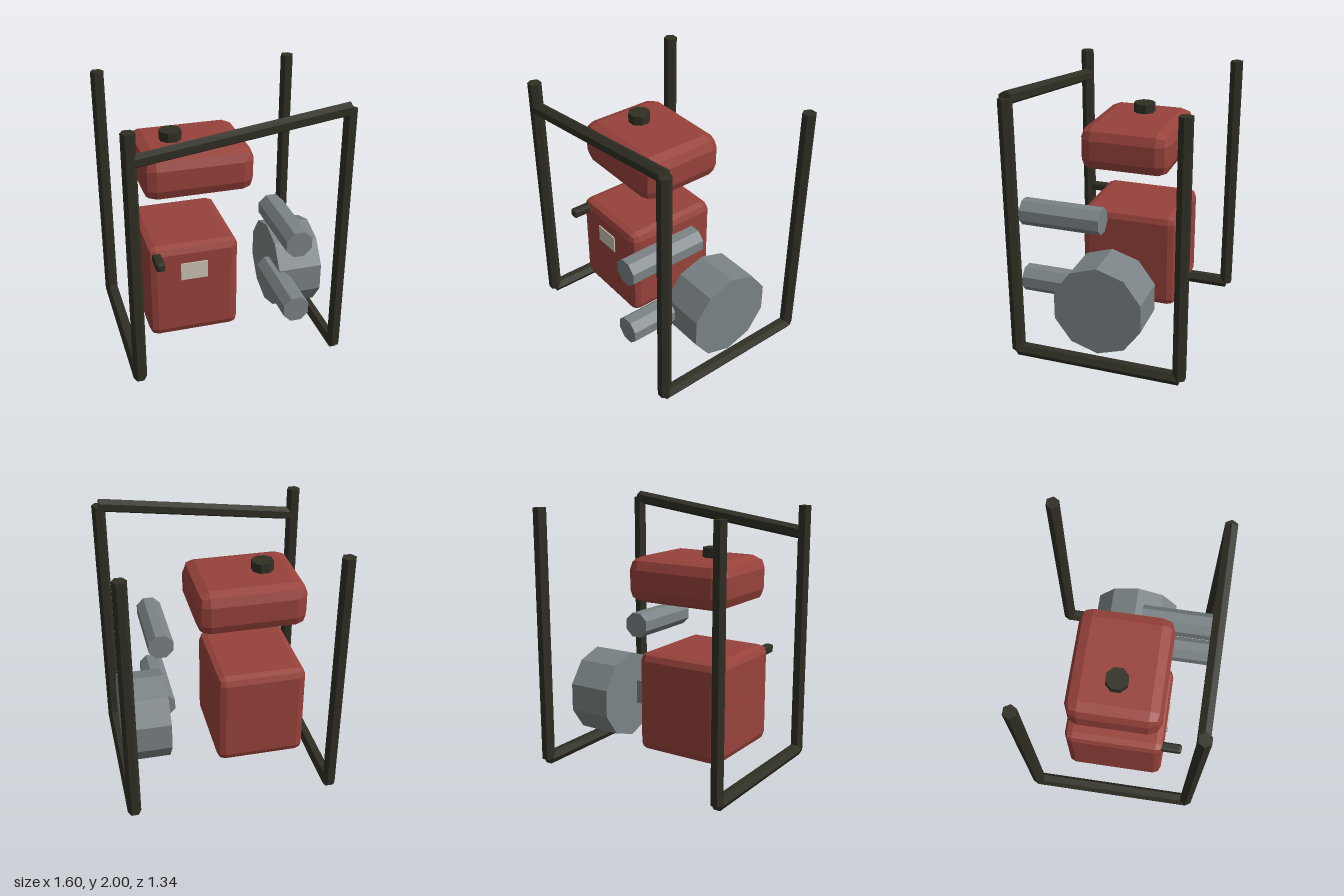
import * as THREE from 'three';
import { RoundedBoxGeometry } from 'three/addons/geometries/RoundedBoxGeometry.js';

export function createModel() {
  const group = new THREE.Group();
  group.name = 'framedEngine';

  const paint = (name, color) => {
    const m = new THREE.MeshStandardMaterial({ color, flatShading: true });
    m.name = name;
    return m;
  };
  const red = paint('red paint', 0x98423b);
  const steel = paint('grey steel', 0x7b8386);
  const dark = paint('dark frame', 0x2f2f24);
  const cream = paint('cream plate', 0xcac3b4);

  const add = (name, geometry, material, position) => {
    const mesh = new THREE.Mesh(geometry, material);
    mesh.name = name;
    mesh.position.copy(position);
    group.add(mesh);
    return mesh;
  };

  // Faceted rod between two points; twist turns the cross-section
  const rod = (name, from, to, radius, sides, twist, material) => {
    const a = new THREE.Vector3(...from);
    const b = new THREE.Vector3(...to);
    const dir = b.clone().sub(a);
    const geometry = new THREE.CylinderGeometry(radius, radius, dir.length(), sides, 1, false, twist);
    const mesh = add(name, geometry, material, a.add(b).multiplyScalar(0.5));
    mesh.quaternion.setFromUnitVectors(new THREE.Vector3(0, 1, 0), dir.normalize());
  };

  // Bevelled block given by its lowest and highest corners
  const block = (name, min, max, bevel, material) => {
    const box = new THREE.Box3(new THREE.Vector3(...min), new THREE.Vector3(...max));
    const s = box.getSize(new THREE.Vector3());
    const geometry = bevel
      ? new RoundedBoxGeometry(s.x, s.y, s.z, 1, bevel)
      : new THREE.BoxGeometry(s.x, s.y, s.z);
    add(name, geometry, material, box.getCenter(new THREE.Vector3()));
  };

  // Tube frame: four posts, two floor rails, one sloping top bar
  const frontZ = 0.603, backZ = -0.622, floorY = 0.045, topY = 1.95;
  for (const [side, x] of [['left', 0.75], ['right', -0.75]]) {
    for (const [end, z] of [['Front', frontZ], ['Back', backZ]]) {
      rod(side + end + 'Post', [x, floorY, z], [x, topY, z], 0.05, 6, Math.PI / 6, dark);
    }
    rod(side + 'FloorRail', [x, floorY, backZ], [x, floorY, frontZ], 0.05, 6, Math.PI / 6, dark);
  }
  rod('topBar', [-0.75, 1.747, frontZ], [0.75, topY, frontZ], 0.05, 6, Math.PI / 6, dark);

  // Engine body with name plate and lever
  block('engineBody', [-0.61, 0.185, -0.385], [0.065, 0.93, 0.362], 0.06, red);
  block('plate', [-0.375, 0.66, 0.364], [-0.175, 0.795, 0.373], 0, cream);
  block('lever', [-0.579, 0.83, 0.3], [-0.513, 0.896, 0.495], 0.016, dark);

  // Fuel tank and cap
  block('fuelTank', [-0.61, 1.275, -0.35], [0.2, 1.61, 0.33], 0.093, red);
  rod('tankCap', [-0.343, 1.56, -0.012], [-0.343, 1.68, -0.012], 0.083, 8, Math.PI / 8, dark);

  // Drum and the two pipes beside it
  rod('drum', [0.405, 0.457, -0.012], [0.743, 0.457, -0.012], 0.338, 10, Math.PI / 2, steel);
  for (const [name, y] of [['upperPipe', 1.0], ['lowerPipe', 0.457]]) {
    rod(name, [0.405, y, 0.06], [0.405, y, 0.673], 0.102, 8, Math.PI / 8, steel);
  }

  return group;
}
